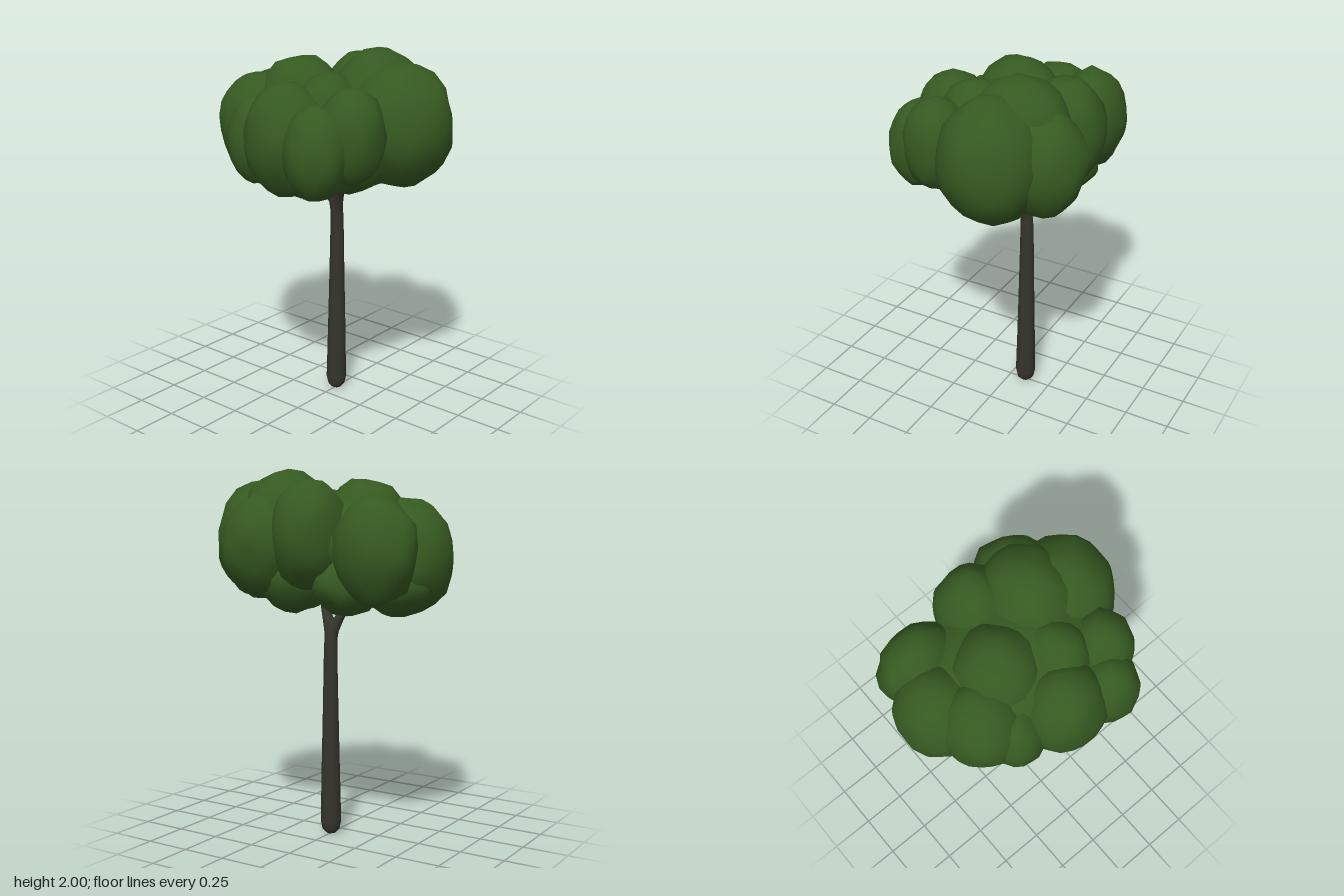
import * as THREE from 'three';
import { mergeVertices } from 'three/addons/utils/BufferGeometryUtils.js';

const bark = new THREE.MeshStandardMaterial({ color: 0x36352b });
bark.name = 'dark bark';
const leaf = new THREE.MeshStandardMaterial({ color: 0x365a21 });
leaf.name = 'leaf green';

// Weld the vertices so that the shading is smooth across every edge
function smooth(geometry) {
  geometry.deleteAttribute('uv');
  geometry.deleteAttribute('normal');
  const welded = mergeVertices(geometry, 1e-5);
  welded.computeVertexNormals();
  return welded;
}

// Round limb through rings [x, y, z, radius], listed from top to bottom
function limb(name, rings, sides = 10) {
  const g = new THREE.CylinderGeometry(1, 1, 1, sides, rings.length - 1, true);
  const p = g.attributes.position;
  for (let i = 0; i < p.count; i++) {
    const [x, y, z, r] = rings[Math.floor(i / (sides + 1))];
    p.setXYZ(i, x + p.getX(i) * r, y, z + p.getZ(i) * r);
  }
  const mesh = new THREE.Mesh(smooth(g), bark);
  mesh.name = name;
  return mesh;
}

// Repeatable value from -1 to 1
function jitter(n) {
  const f = Math.sin(n * 12.9898) * 43758.5453;
  return (f - Math.floor(f)) * 2 - 1;
}

// Rough leaf ball with centre and radii
function clump([x, y, z, rx, ry, rz], index) {
  const g = smooth(new THREE.IcosahedronGeometry(1, 3));
  const p = g.attributes.position;
  const v = new THREE.Vector3();
  const s = index * 2.37;
  for (let i = 0; i < p.count; i++) {
    v.fromBufferAttribute(p, i);
    const bump = Math.sin(v.x * 5 + s) * Math.sin(v.y * 5 + s * 1.7) * Math.sin(v.z * 5 + s * 0.6);
    v.multiplyScalar(1 + 0.05 * bump + 0.025 * jitter(i + index * 101));
    p.setXYZ(i, x + v.x * rx, y + v.y * ry, z + v.z * rz);
  }
  g.computeVertexNormals();
  const mesh = new THREE.Mesh(g, leaf);
  mesh.name = 'leafClump' + (index + 1);
  return mesh;
}

const clumps = [
  // core that fills the hollows between the clumps
  [0.00, 1.58, 0.00, 0.42, 0.29, 0.52],
  // front
  [0.115, 1.62, 0.40, 0.28, 0.33, 0.28],
  [-0.23, 1.61, 0.35, 0.18, 0.25, 0.175],
  [-0.40, 1.54, 0.26, 0.16, 0.24, 0.17],
  [0.32, 1.60, 0.27, 0.235, 0.28, 0.23],
  // middle and top
  [0.17, 1.73, 0.22, 0.27, 0.27, 0.24],
  [0.31, 1.66, -0.01, 0.215, 0.29, 0.20],
  [-0.03, 1.70, -0.14, 0.24, 0.25, 0.23],
  [-0.14, 1.68, 0.13, 0.19, 0.22, 0.18],
  [-0.34, 1.57, 0.02, 0.21, 0.30, 0.23],
  // back
  [-0.15, 1.58, -0.34, 0.22, 0.28, 0.22],
  [-0.28, 1.52, -0.24, 0.16, 0.24, 0.16],
  [0.05, 1.54, -0.45, 0.24, 0.29, 0.23],
  [0.28, 1.58, -0.38, 0.185, 0.28, 0.23],
  // underside
  [-0.20, 1.42, 0.05, 0.22, 0.18, 0.20],
  [-0.14, 1.42, -0.22, 0.22, 0.18, 0.20],
  [0.22, 1.41, -0.18, 0.20, 0.17, 0.18],
  [0.10, 1.41, -0.42, 0.22, 0.17, 0.20],
  [0.22, 1.43, 0.14, 0.22, 0.19, 0.20],
  [-0.12, 1.46, 0.24, 0.24, 0.18, 0.19],
];

export function createModel() {
  const tree = new THREE.Group();
  tree.name = 'tree';

  // Trunk with a rounded foot, bending into the fork
  tree.add(limb('trunk', [
    [0.075, 1.21, 0, 0], [0.076, 1.20, 0, 0.02], [0.087, 1.16, 0, 0.032],
    [0.097, 1.10, 0, 0.035], [0.1, 1.0, 0, 0.037], [0.1, 0.7, 0, 0.043],
    [0.1, 0.35, 0, 0.051], [0.098, 0.07, 0, 0.057], [0.098, 0.025, 0, 0.047],
    [0.098, 0.004, 0, 0.026], [0.098, 0, 0, 0],
  ]));

  // Forked branches leaning into the crown
  for (const side of [1, -1]) {
    tree.add(limb(side > 0 ? 'frontBranch' : 'backBranch', [
      [-0.09, 1.5, side * 0.2, 0], [-0.07, 1.46, side * 0.17, 0.018],
      [-0.02, 1.38, side * 0.13, 0.024], [0.035, 1.29, side * 0.078, 0.027],
      [0.073, 1.2, side * 0.034, 0.029], [0.091, 1.13, side * 0.009, 0.031],
      [0.1, 1.04, 0, 0.03], [0.1, 1.02, 0, 0],
    ]));
  }

  // Leafy crown
  const crown = new THREE.Group();
  crown.name = 'crown';
  clumps.forEach((c, i) => crown.add(clump(c, i)));
  tree.add(crown);

  return tree;
}
